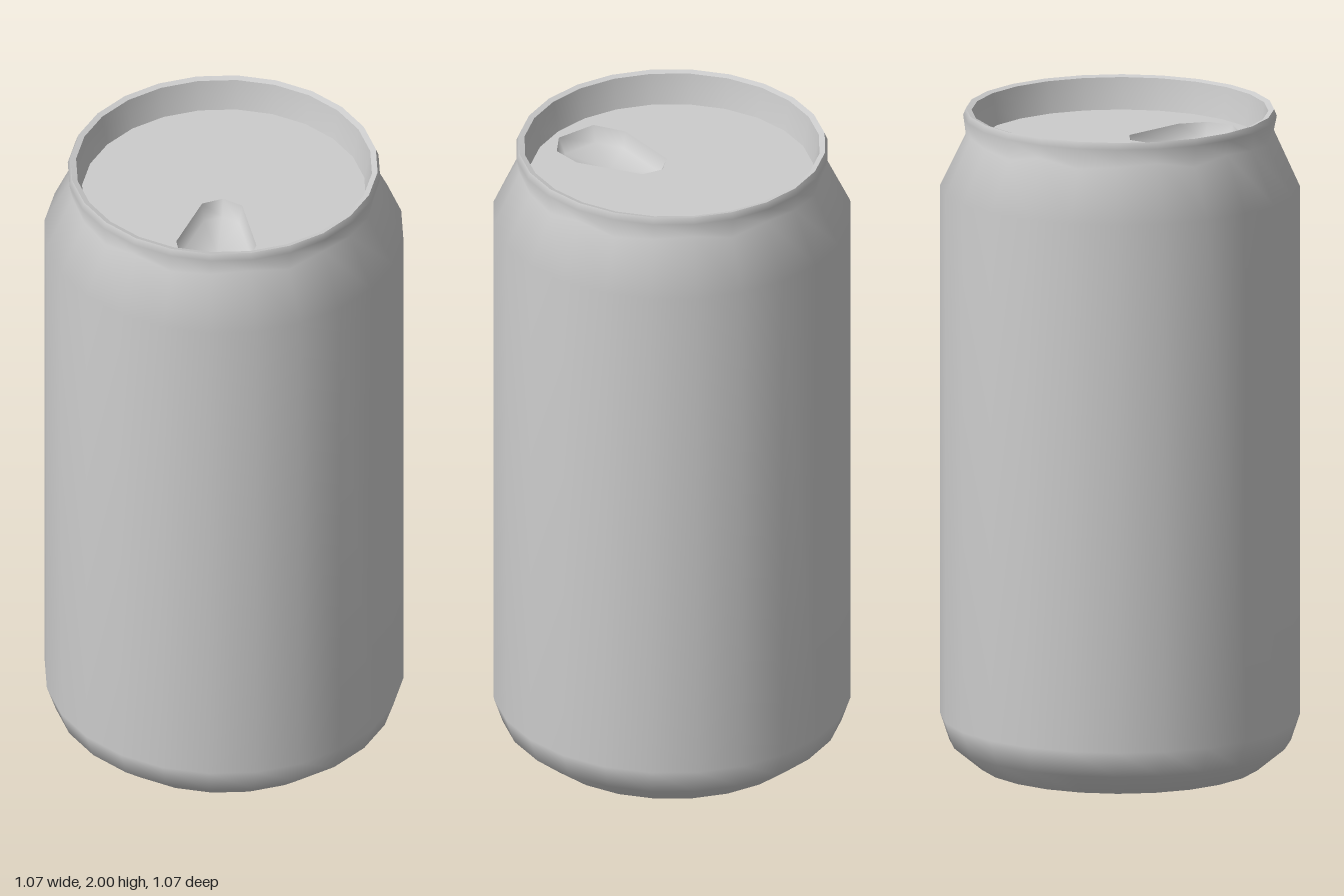
import * as THREE from 'three';

const SIDES = 24;
const LID_Y = 1.9;
const LID_RADIUS = 0.425;

export function createModel() {
  const can = new THREE.Group();
  can.name = 'drinkCan';
  const material = new THREE.MeshStandardMaterial({ color: 0xcccccc });

  function add(name, geometry) {
    const mesh = new THREE.Mesh(geometry, material);
    mesh.name = name;
    can.add(mesh);
  }
  const lathe = (profile) =>
    new THREE.LatheGeometry(profile.map(([r, y]) => new THREE.Vector2(r, y)), SIDES);

  // Concave base
  add('baseDome', lathe([[0, 0.12], [0.16, 0.105], [0.3, 0.07], [0.39, 0.025], [0.425, 0]]));

  // Side wall from the foot up through the shoulder
  const body = lathe([[0.425, 0], [0.51, 0.07], [0.537, 0.15], [0.537, 1.765], [0.459, 1.92], [0.468, 1.98], [0.46, 2]]);
  // Slightly uneven crimp under the rim
  const p = body.attributes.position;
  for (let i = 0; i < p.count; i++) {
    if (Math.abs(p.getY(i) - 1.92) < 0.01) {
      p.setY(i, 1.925 + 0.012 * Math.sin(9 * Math.atan2(p.getX(i), p.getZ(i))));
    }
  }
  add('body', body);

  // Rim lip and the wall dropping to the lid
  add('rimLip', lathe([[0.46, 2], [0.443, 1.995]]));
  add('rimInnerWall', lathe([[0.443, 1.995], [0.436, 1.95], [LID_RADIUS, LID_Y]]));

  // Teardrop outline of the opening, as x and z
  const outline = [
    [0, 0.035], [-0.06, 0.065], [-0.12, 0.265], [-0.095, 0.365],
    [0.03, 0.4], [0.1, 0.355], [0.12, 0.265], [0.06, 0.065],
  ];

  // Lid disc with the opening cut out
  const disc = new THREE.Shape();
  for (let i = 0; i < SIDES; i++) {
    const a = (i / SIDES) * Math.PI * 2;
    const x = LID_RADIUS * Math.cos(a), y = LID_RADIUS * Math.sin(a);
    if (i) disc.lineTo(x, y);
    else disc.moveTo(x, y);
  }
  disc.closePath();
  disc.holes.push(new THREE.Path(outline.map(([x, z]) => new THREE.Vector2(x, -z))));
  add('lid', new THREE.ShapeGeometry(disc).rotateX(-Math.PI / 2).translate(0, LID_Y, 0));

  // Pressed-in opening: sloping wall and shallow floor
  const n = outline.length;
  const cz = 0.23;
  const positions = [];
  const index = [];
  for (const [x, z] of outline) positions.push(x, LID_Y, z);
  for (const [x, z] of outline) positions.push(x * 0.88, LID_Y - 0.05, cz + (z - cz) * 0.88);
  positions.push(0, LID_Y - 0.065, cz);
  for (let i = 0; i < n; i++) {
    const j = (i + 1) % n;
    index.push(n + i, i, j, n + i, j, n + j, 2 * n, n + i, n + j);
  }
  const recess = new THREE.BufferGeometry();
  recess.setAttribute('position', new THREE.Float32BufferAttribute(positions, 3));
  recess.setIndex(index);
  recess.computeVertexNormals();
  add('openingRecess', recess);

  return can;
}
